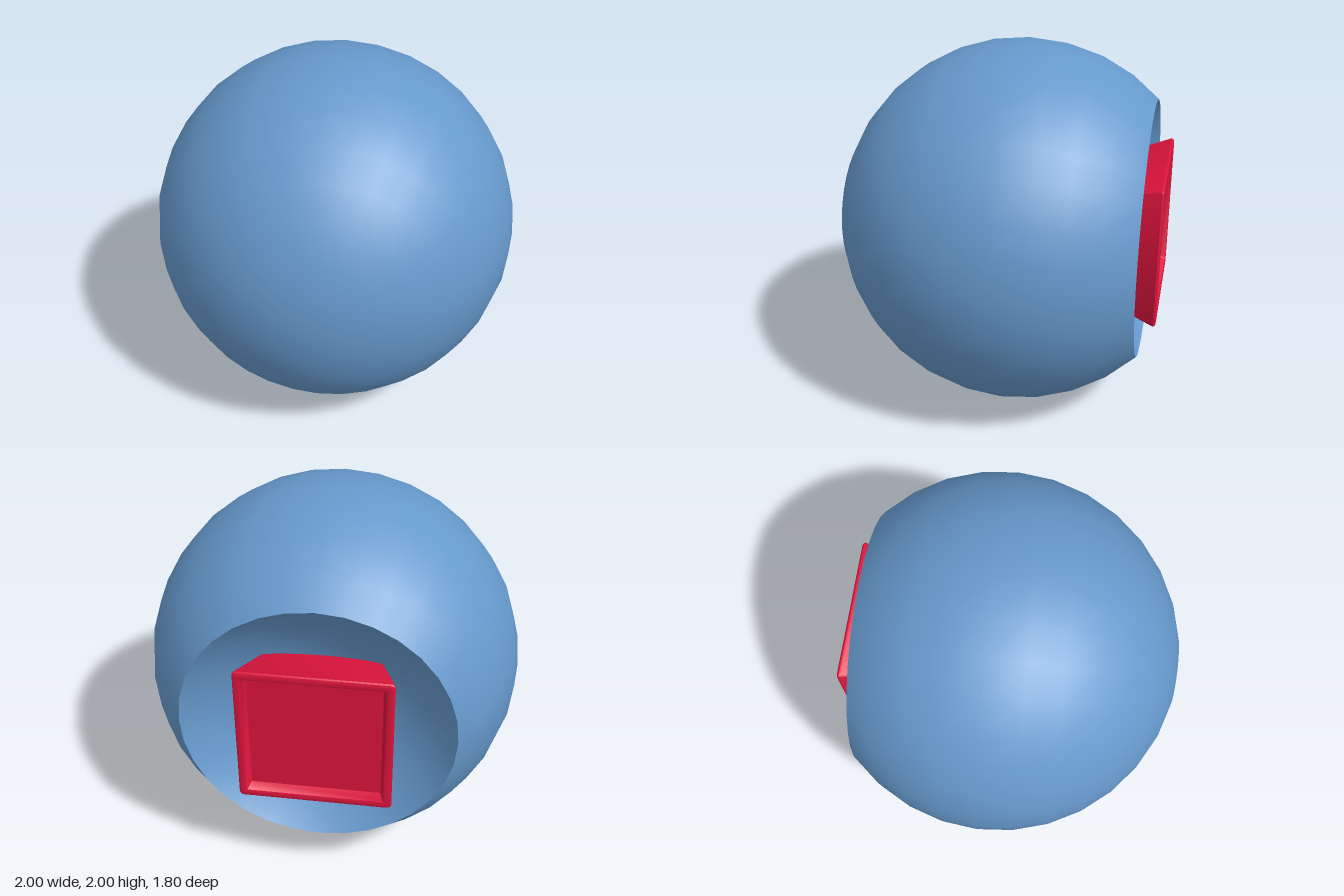
import * as THREE from 'three';
import { toCreasedNormals } from 'three/addons/utils/BufferGeometryUtils.js';

// Rounded square rings stacked along z, joined into one skin.
// profile: [half width, z, corner radius], running towards -z on the outside
function squareLoft(profile) {
  const steps = 4;
  const count = 4 * (steps + 1);
  const positions = [];
  const index = [];
  for (const [half, z, radius] of profile) {
    for (let corner = 0; corner < 4; corner++) {
      const diagonal = Math.PI / 4 + corner * Math.PI / 2;
      const cx = Math.sign(Math.cos(diagonal)) * (half - radius);
      const cy = Math.sign(Math.sin(diagonal)) * (half - radius);
      for (let s = 0; s <= steps; s++) {
        const a = (corner + s / steps) * Math.PI / 2;
        positions.push(cx + radius * Math.cos(a), cy + radius * Math.sin(a), z);
      }
    }
  }
  for (let i = 0; i < profile.length - 1; i++) {
    for (let j = 0; j < count; j++) {
      const k = (j + 1) % count;
      const a = i * count + j, b = i * count + k;
      const d = a + count, c = b + count;
      index.push(a, d, c, a, c, b);
    }
  }
  const geometry = new THREE.BufferGeometry();
  geometry.setAttribute('position', new THREE.Float32BufferAttribute(positions, 3));
  geometry.setIndex(index);
  return toCreasedNormals(geometry, Math.PI / 5);
}

export function createModel() {
  const model = new THREE.Group();
  model.name = 'ballWithSocket';

  const blue = new THREE.MeshStandardMaterial({ color: 0x6699cc, side: THREE.DoubleSide });
  const red = new THREE.MeshStandardMaterial({ color: 0xdc143c });

  const add = (name, geometry, material, y, z) => {
    const mesh = new THREE.Mesh(geometry, material);
    mesh.name = name;
    mesh.position.set(0, y, z);
    model.add(mesh);
  };

  // Ball with its back cap cut away at 45 degrees
  const ball = new THREE.SphereGeometry(1, 32, 12, 0, Math.PI * 2, 0, Math.PI * 0.75);
  add('ball', ball.rotateX(Math.PI / 2), blue, 1, -0.1);

  // The cut cap mirrored inwards as a shallow bowl
  const bowl = new THREE.SphereGeometry(1, 32, 4, 0, Math.PI * 2, 0, Math.PI / 4);
  add('backBowl', bowl.rotateX(Math.PI / 2), blue, 1, -0.1 - Math.SQRT2);

  // Flared square block with a rounded lip and a recessed panel
  const block = squareLoft([
    [0.27, -0.48, 0.015],
    [0.392, -0.877, 0.02],
    [0.394, -0.888, 0.02],
    [0.39, -0.896, 0.02],
    [0.381, -0.9, 0.018],
    [0.36, -0.9, 0.01],
    [0.353, -0.897, 0.01],
    [0.35, -0.89, 0.01],
    [0.335, -0.85, 0.006],
    [0, -0.85, 0],
  ]);
  add('squareSocket', block, red, 1, 0);

  return model;
}
